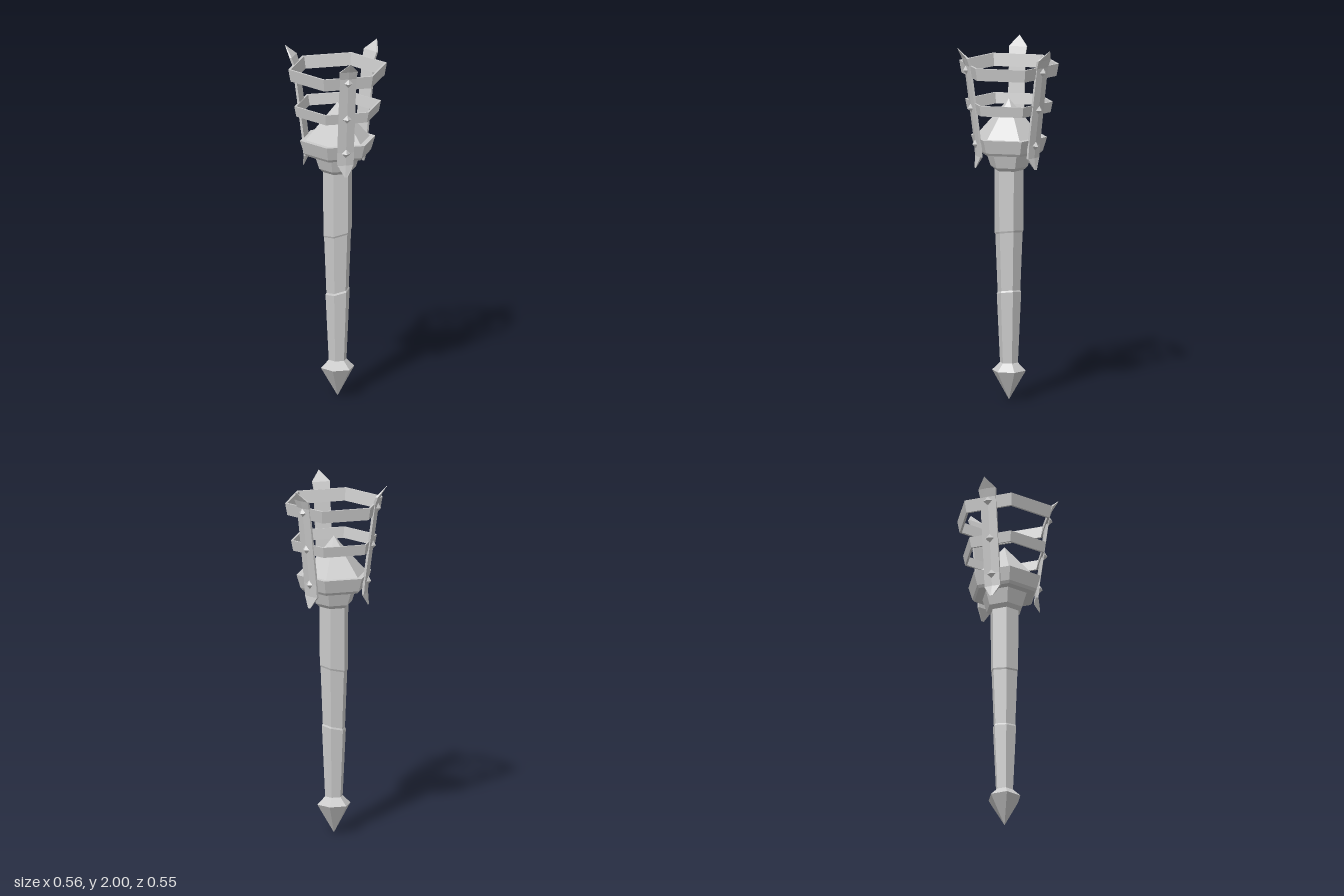
import * as THREE from 'three';

const mat = new THREE.MeshStandardMaterial({ color: 0xcccccc, flatShading: true });

function mesh(geometry, name) {
  const m = new THREE.Mesh(geometry, mat);
  m.name = name;
  return m;
}

// Six-sided turned part with corners on the x axis; profile is [radius, y], rising on the outside
function hexLathe(profile, name) {
  const pts = profile.map(([r, y]) => new THREE.Vector2(r, y));
  return mesh(new THREE.LatheGeometry(pts, 6, Math.PI / 2), name);
}

// Thin tapered hexagonal band
function hexBand(y0, r0, y1, r1, t, name) {
  return hexLathe([[r0 - t, y0], [r0, y0], [r1, y1], [r1 - t, y1], [r0 - t, y0]], name);
}

// Handle whose two joints slant across x
function handle() {
  const m = hexLathe([
    [0.05, 0.2], [0.069, 0.605], [0.064, 0.615],
    [0.077, 0.94], [0.081, 0.95], [0.083, 1.31],
  ], 'handle');
  const p = m.geometry.attributes.position;
  for (let i = 0; i < p.count; i++) {
    const y = p.getY(i);
    if (y > 0.5 && y < 1) p.setY(i, y + p.getX(i) * 0.22);
  }
  return m;
}

// Upright claw lofted from stations [y, outer distance, half width], with a low ridge down its face
function prongGeometry() {
  const stations = [
    [1.32, 0.198, 0.008], [1.385, 0.188, 0.046], [1.46, 0.194, 0.046],
    [1.9, 0.252, 0.046], [1.945, 0.268, 0.051], [2.0, 0.302, 0.001],
  ];
  const pos = [], idx = [], n = 5;
  stations.forEach(([y, d, w], i) => {
    const end = i === 0 || i === stations.length - 1;
    const t = end ? 0.003 : 0.018, ridge = end ? 0 : 0.005;
    pos.push(-w, y, d - t, w, y, d - t, w, y, d - ridge, 0, y, d, -w, y, d - ridge);
  });
  for (let s = 0; s < stations.length - 1; s++) {
    for (let k = 0; k < n; k++) {
      const a = s * n + k, b = s * n + (k + 1) % n;
      idx.push(a, a + n, b, b, a + n, b + n);
    }
  }
  // End caps
  const top = (stations.length - 1) * n;
  for (let k = 1; k < n - 1; k++) {
    idx.push(0, k, k + 1, top, top + k + 1, top + k);
  }
  // Loops run counter-clockwise seen from below, so walls face outward
  const g = new THREE.BufferGeometry();
  g.setAttribute('position', new THREE.Float32BufferAttribute(pos, 3));
  g.setIndex(idx);
  g.computeVertexNormals();
  return g;
}

export function createModel() {
  const group = new THREE.Group();
  const body = new THREE.Group();
  body.name = 'torch';
  body.position.z = -0.03;
  group.add(body);

  // Pointed pommel and handle
  body.add(hexLathe([[0, 0.005], [0.095, 0.17], [0.05, 0.215], [0, 0.215]], 'pommel'));
  body.add(handle());

  // Collar and cup under the basket
  body.add(hexLathe([[0, 1.3], [0.083, 1.3], [0.105, 1.32], [0.133, 1.405], [0, 1.405]], 'collar'));
  body.add(hexLathe([
    [0, 1.4], [0.18, 1.4], [0.192, 1.415], [0.215, 1.49], [0.183, 1.49],
  ], 'cup'));

  // Faceted core rising from the cup
  body.add(hexLathe([[0.183, 1.49], [0, 1.7]], 'core'));

  // Basket bands
  body.add(hexBand(1.63, 0.235, 1.69, 0.247, 0.012, 'lowerBand'));
  body.add(hexBand(1.835, 0.268, 1.905, 0.281, 0.014, 'upperBand'));

  // Three claws with diamond studs
  const prong = prongGeometry();
  const stud = new THREE.OctahedronGeometry(0.025).scale(1, 1, 0.75);
  for (let i = 0; i < 3; i++) {
    const claw = new THREE.Group();
    claw.name = 'claw';
    claw.rotation.y = i * Math.PI * 2 / 3;
    claw.add(mesh(prong, 'prong'));
    for (const [y, d] of [[1.455, 0.195], [1.66, 0.221], [1.875, 0.25]]) {
      const s = mesh(stud, 'stud');
      s.position.set(0, y, d);
      s.rotation.x = 0.13;
      claw.add(s);
    }
    body.add(claw);
  }
  return group;
}
